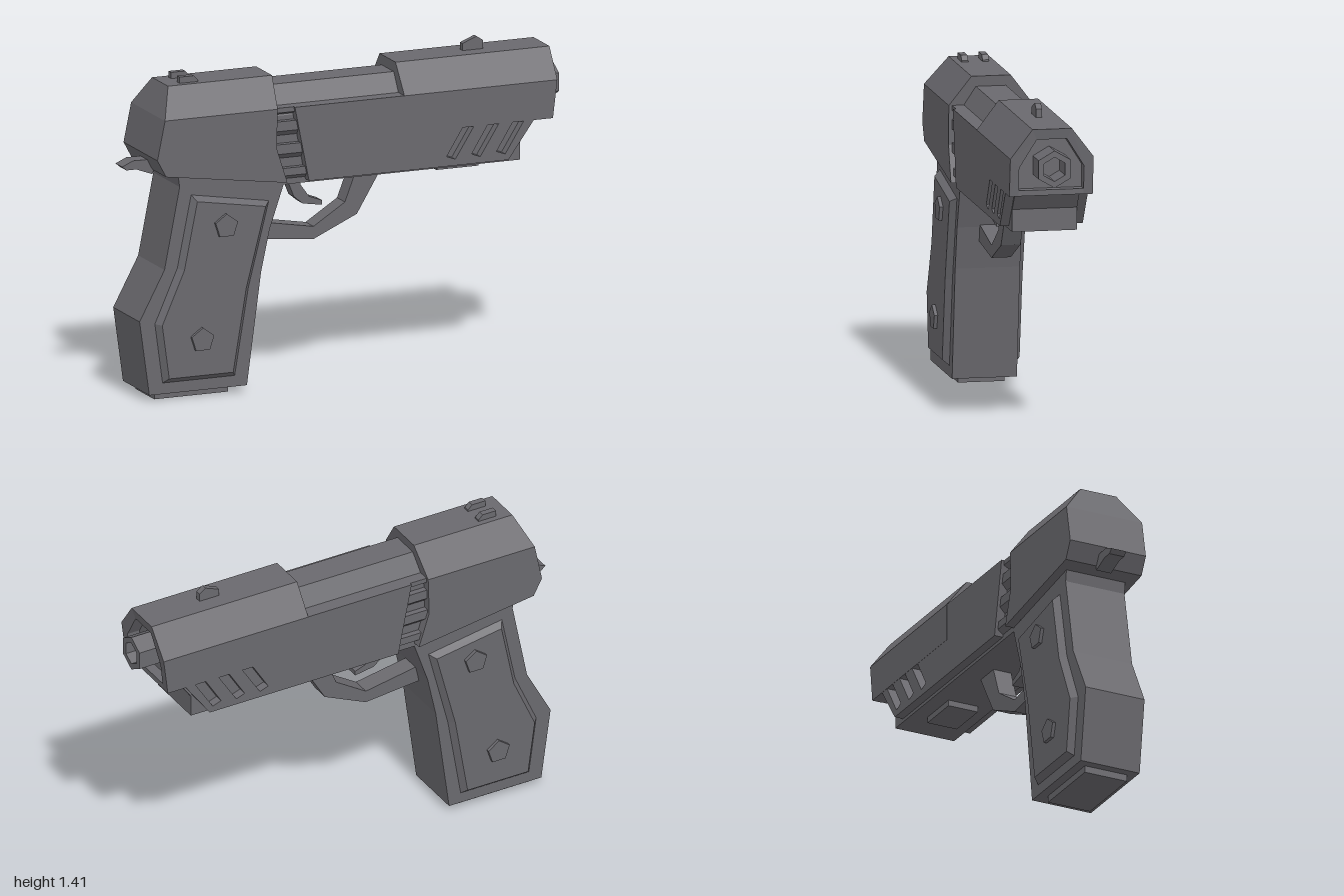
import * as THREE from 'three';

const steel = new THREE.MeshStandardMaterial({ color: 0x6a696e });
steel.name = 'gunmetal grey';

export function createModel() {
  const model = new THREE.Group();
  model.name = 'pistol';

  const add = (name, geometry) => {
    const g = geometry.index ? geometry.toNonIndexed() : geometry;
    g.computeVertexNormals();
    const mesh = new THREE.Mesh(g, steel);
    mesh.name = name;
    model.add(mesh);
    return mesh;
  };

  const outline = (pts) => new THREE.Shape(pts.map(([x, y]) => new THREE.Vector2(x, y)));

  // Side profile (x, y) extruded from z0 to z1
  const slab = (name, pts, z0, z1, holes = []) => {
    const shape = outline(pts);
    shape.holes = holes.map(outline);
    const g = new THREE.ExtrudeGeometry(shape, { depth: z1 - z0, bevelEnabled: false });
    return add(name, g.translate(0, 0, z0));
  };

  // Mirrored cross-section swept along x; rows [z, x0, y0, x1, y1] run up the +z side
  const sweep = (name, half) => {
    const rows = [...half, ...half.slice().reverse().map(([z, ...r]) => [-z, ...r])];
    const n = rows.length;
    const pos = [];
    const back = rows.map(([z, x, y]) => [x, y, z]);
    const front = rows.map(([z, , , x, y]) => [x, y, z]);
    const tri = (...v) => v.forEach((p) => pos.push(...p));
    for (let i = 0; i < n; i++) {
      const j = (i + 1) % n;
      tri(back[j], back[i], front[i]);
      tri(back[j], front[i], front[j]);
    }
    const flat = rows.map(([z, , y]) => new THREE.Vector2(z, y));
    for (const [a, b, c] of THREE.ShapeUtils.triangulateShape(flat, [])) {
      tri(back[a], back[b], back[c]);
      tri(front[c], front[b], front[a]);
    }
    const g = new THREE.BufferGeometry();
    g.setAttribute('position', new THREE.Float32BufferAttribute(pos, 3));
    return add(name, g);
  };

  // Rear slide, stacked from tapering layers
  const rear = [
    [0.18, -0.86, 0.985, -0.3, 0.905],
    [0.18, -0.9, 1.06, -0.35, 1.06],
    [0.18, -0.865, 1.23, -0.345, 1.23],
    [0.085, -0.81, 1.355, -0.33, 1.355],
  ];
  for (let i = 0; i < 3; i++) sweep('rearSlide', [rear[i], rear[i + 1]]);

  // Front slide shell, open around the barrel
  sweep('frontSlide', [
    [0.065, 0.24, 1.31, 0.942, 1.31],
    [0.14, 0.24, 1.19, 0.938, 1.19],
    [0.14, 0.24, 1.065, 0.925, 1.065],
    [0.18, 0.24, 1.065, 0.925, 1.065],
    [0.18, 0.24, 1.23, 0.945, 1.23],
    [0.085, 0.24, 1.355, 0.95, 1.355],
  ]);

  // Inner core and lower frame
  sweep('slideCore', [
    [0.14, -0.4, 1.08, 0.88, 1.08],
    [0.14, -0.4, 1.19, 0.88, 1.19],
    [0.065, -0.4, 1.31, 0.88, 1.31],
  ]);
  slab('lowerFrame', [
    [-0.5, 0.93], [-0.3, 0.888], [0.79, 0.888], [0.79, 0.985], [0.85, 1.066],
    [0.925, 1.066], [0.925, 1.09], [-0.5, 1.09],
  ], -0.14, 0.14);

  // Side plates with slanted slots
  const slots = [0, 0.115, 0.23].map((d) => [
    [0.435 + d, 0.945], [0.525 + d, 1.09], [0.565 + d, 1.072], [0.475 + d, 0.93],
  ]);
  const plate = [[-0.265, 1.23], [-0.2, 0.903], [0.72, 0.903], [0.855, 1.09], [0.86, 1.23]];
  slab('leftSidePlate', plate, 0.11, 0.179, slots);
  slab('rightSidePlate', plate, -0.179, -0.11, slots);

  // Vent ribs between rear slide and side plates
  for (const [low, high] of [[0.91, 0.965], [1.0, 1.07], [1.1, 1.17], [1.195, 1.23]]) {
    const mid = low + (high - low) * 0.4;
    sweep('ventRib', [
      [0.135, -0.37, low, -0.2, low],
      [0.166, -0.37, mid, -0.2, mid],
      [0.166, -0.37, high, -0.2, high],
    ]);
  }

  // Six-sided barrel with bore
  const hex = (r) => Array.from({ length: 6 }, (_, i) => {
    const a = Math.PI / 6 + i * Math.PI / 3;
    return [r * Math.cos(a), r * Math.sin(a)];
  });
  const barrel = slab('barrel', hex(0.08), 0.86, 1.0, [hex(0.052)]);
  barrel.geometry.rotateY(Math.PI / 2).translate(0, 1.19, 0);

  // Sights
  for (const z of [-0.045, 0.045]) {
    slab('rearSight', [
      [-0.745, 1.34], [-0.66, 1.34], [-0.66, 1.362], [-0.68, 1.382], [-0.745, 1.382],
    ], z - 0.014, z + 0.014);
  }
  slab('frontSight', [
    [0.58, 1.34], [0.675, 1.34], [0.675, 1.392], [0.645, 1.412], [0.58, 1.386],
  ], -0.013, 0.013);

  // Hammer
  slab('hammer', [
    [-1, 1.01], [-0.98, 0.993], [-0.935, 0.993], [-0.86, 0.965], [-0.84, 1.03], [-0.95, 1.032],
  ], -0.035, 0.035);

  // Grip and base
  slab('grip', [
    [-0.79, 0.99], [-0.78, 0.925], [-0.85, 0.57], [-0.965, 0.355], [-0.92, 0.03],
    [-0.47, 0.03], [-0.405, 0.515], [-0.365, 0.7], [-0.3, 0.89], [-0.3, 0.95],
  ], -0.14, 0.14);
  slab('magazineBase', [[-0.88, 0], [-0.54, 0], [-0.54, 0.04], [-0.88, 0.04]], -0.1, 0.1);

  // Bevelled grip panels, one block showing on both sides
  const panel = new THREE.ExtrudeGeometry(outline([
    [-0.71, 0.86], [-0.77, 0.565], [-0.872, 0.335], [-0.84, 0.1],
    [-0.545, 0.1], [-0.485, 0.46], [-0.395, 0.808],
  ]), { depth: 0.28, bevelThickness: 0.027, bevelSize: 0.022, bevelSegments: 1 });
  add('gripPanels', panel.translate(0, 0, -0.14));

  // Five-sided grip screws
  for (const [x, y] of [[-0.58, 0.743], [-0.69, 0.257]]) {
    const screw = new THREE.CylinderGeometry(0.054, 0.054, 0.364, 5);
    screw.rotateY(Math.PI).rotateX(Math.PI / 2);
    add('gripScrew', screw.translate(x, y, 0));
  }

  // Trigger and guard
  slab('triggerGuard', [
    [-0.4, 0.715], [-0.4, 0.637], [-0.12, 0.61], [0.08, 0.7], [0.2, 0.9],
    [0.08, 0.9], [0.025, 0.757], [-0.12, 0.665],
  ], -0.042, 0.042);
  slab('trigger', [
    [-0.245, 0.9], [-0.205, 0.8], [-0.165, 0.767], [-0.075, 0.752], [-0.075, 0.772],
    [-0.135, 0.795], [-0.175, 0.85], [-0.175, 0.9],
  ], -0.03, 0.03);

  // Accessory rail under the frame
  slab('rail', [[0.435, 0.862], [0.63, 0.862], [0.63, 0.9], [0.435, 0.9]], -0.07, 0.07);

  return model;
}
